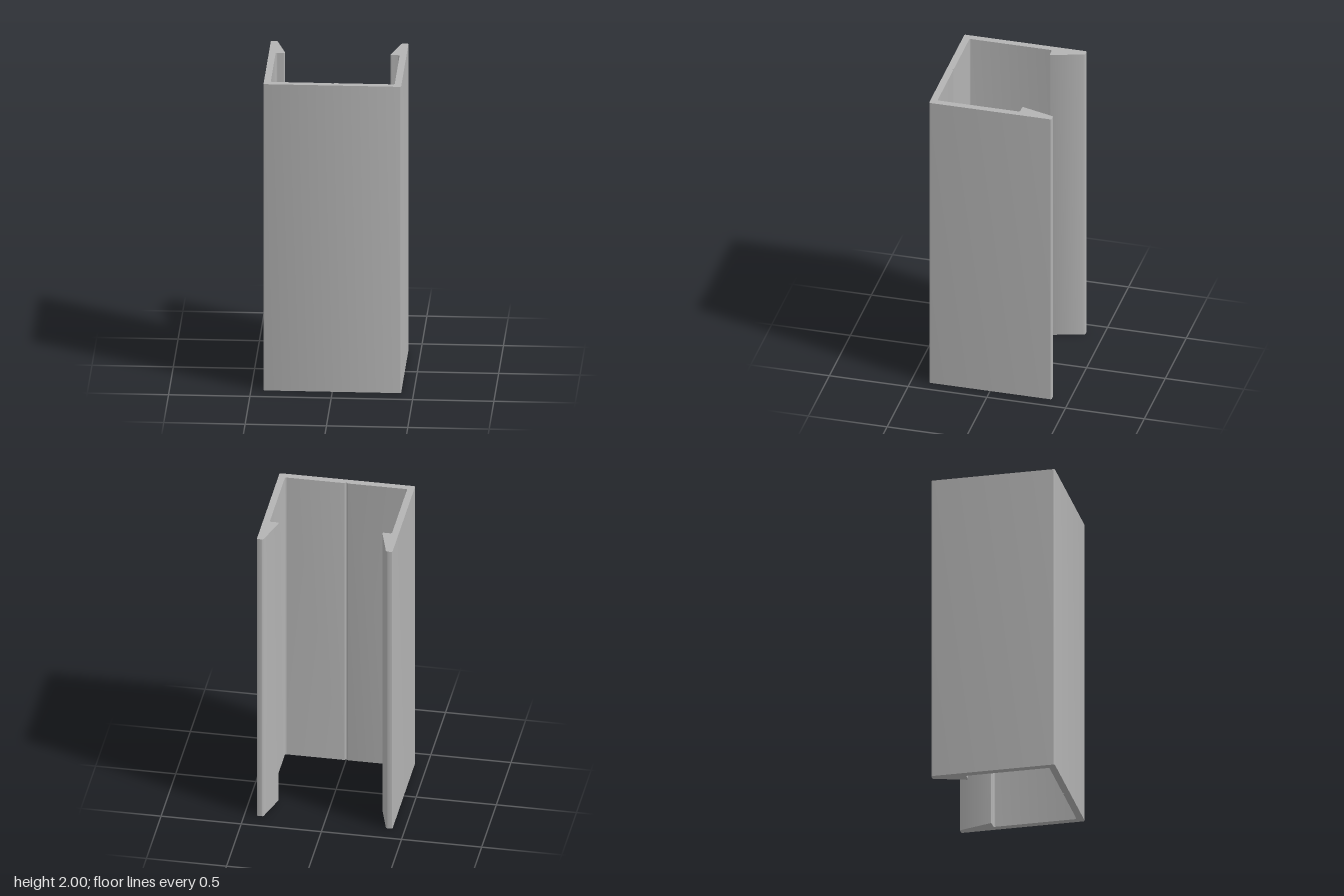
import * as THREE from 'three';
import { toCreasedNormals } from 'three/addons/utils/BufferGeometryUtils.js';

// Closed outline with a small fillet of the given radius at each corner
function roundedOutline(corners) {
  const shape = new THREE.Shape();
  const n = corners.length;
  corners.forEach(([x, y, r], i) => {
    const p = new THREE.Vector2(x, y);
    const toward = ([qx, qy]) =>
      new THREE.Vector2(qx, qy).sub(p).setLength(r).add(p);
    const a = toward(corners[(i + n - 1) % n]);
    const b = toward(corners[(i + 1) % n]);
    if (i === 0) shape.moveTo(a.x, a.y);
    else shape.lineTo(a.x, a.y);
    if (r > 0) shape.quadraticCurveTo(x, y, b.x, b.y);
  });
  shape.closePath();
  return shape;
}

export function createModel() {
  const group = new THREE.Group();
  group.name = 'channelProfile';
  const grey = new THREE.MeshStandardMaterial({ color: 0xb3b3b3 });
  grey.name = 'grey';

  // Half of the cross-section as [x, -z, fillet radius]
  const half = [
    [0.423, -0.388, 0.01],  // outer front corner
    [0.423, 0.39, 0.01],    // back tip, outside
    [0.383, 0.39, 0.01],    // back tip, inside
    [0.321, 0.178, 0.012],  // hook nose
    [0.381, 0.178, 0.012],  // under the hook
    [0.381, -0.345, 0.012], // inner front corner
    [0.01, -0.345, 0.003],  // edge of the centre groove
  ];
  const mirrored = half.map(([x, y, r]) => [-x, y, r]).reverse();
  const shape = roundedOutline([...half, [0, -0.355, 0], ...mirrored]);

  // Extrude upward from the ground
  let geometry = new THREE.ExtrudeGeometry(shape, {
    depth: 2, bevelEnabled: false, curveSegments: 5,
  });
  geometry.rotateX(-Math.PI / 2);
  geometry = toCreasedNormals(geometry, 0.6);

  const channel = new THREE.Mesh(geometry, grey);
  channel.name = 'snapChannel';
  group.add(channel);
  return group;
}
